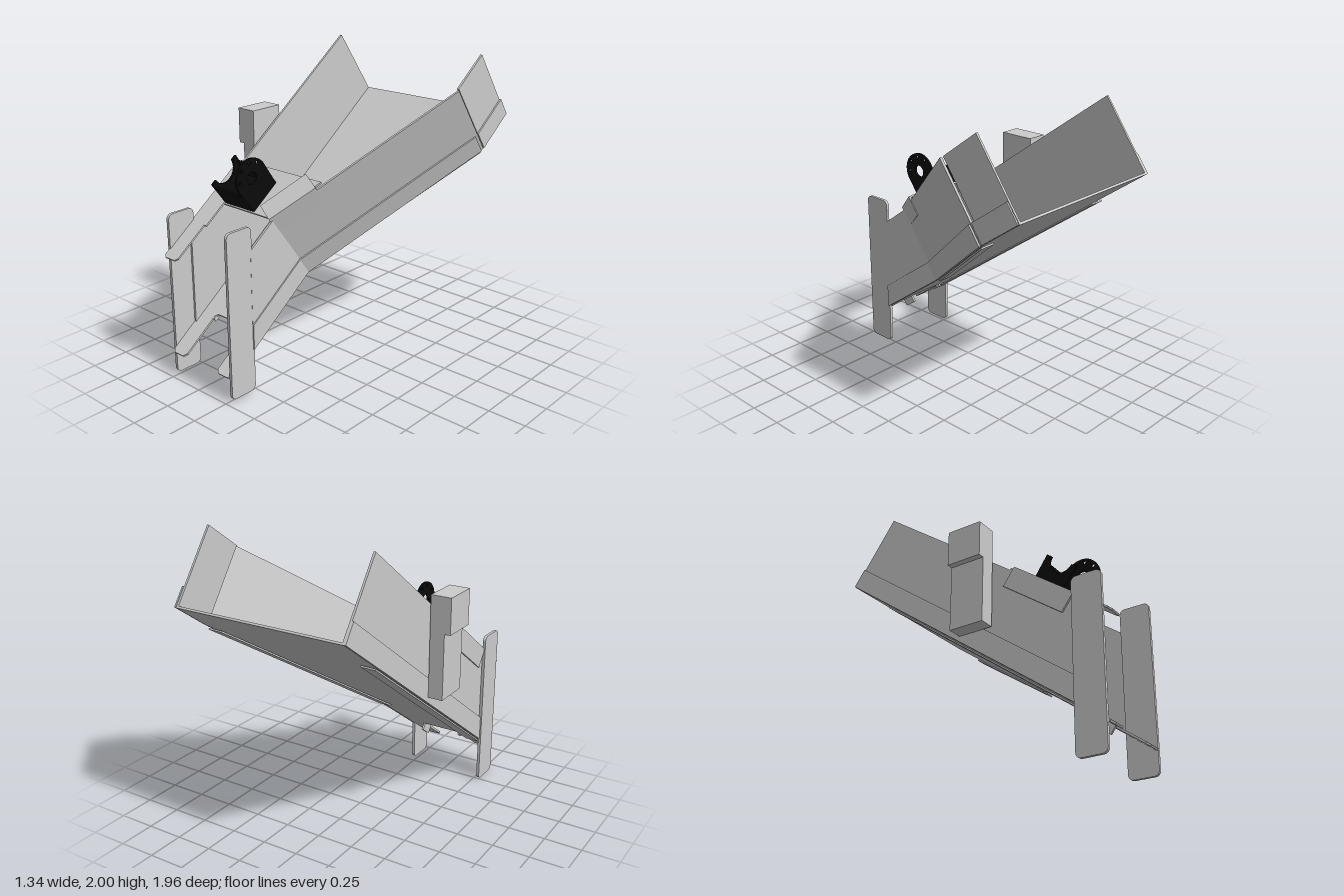
import * as THREE from 'three';

const grey = new THREE.MeshStandardMaterial({ color: 0xcccccc, flatShading: true });
const black = new THREE.MeshStandardMaterial({ color: 0x0b0b0b, flatShading: true });
const T = 0.014;    // sheet thickness
const H = 0.53;     // wall height
const TILT = 0.628; // chute slope

function outline(pts) {
  return new THREE.Shape(pts.map(p => new THREE.Vector2(p[0], p[1])));
}

function add(parent, name, geometry, material = grey) {
  const mesh = new THREE.Mesh(geometry, material);
  mesh.name = name;
  parent.add(mesh);
  return mesh;
}

function extrude(shape, depth) {
  return new THREE.ExtrudeGeometry(shape, { depth, bevelEnabled: false, curveSegments: 16 });
}

// Sheet parallel to the chute floor: points are (x, distance down the slope)
function flat(parent, name, pts, top, depth = T) {
  return add(parent, name, extrude(outline(pts), depth).rotateX(Math.PI / 2).translate(0, top, 0));
}

// Upright sheet along the line a-b; profile points are (distance, height).
// Positive offset moves it towards the chute's right-hand side.
function upright(parent, name, a, b, shape, offset = 0, depth = T, material = grey) {
  const dir = new THREE.Vector3(b[0] - a[0], 0, b[1] - a[1]).normalize();
  const up = new THREE.Vector3(0, 1, 0);
  const m = new THREE.Matrix4().makeBasis(dir, up, dir.clone().cross(up));
  m.setPosition(a[0], 0, a[1]);
  return add(parent, name, extrude(shape, depth).translate(0, 0, offset).applyMatrix4(m), material);
}

const rect = (x0, y0, x1, y1) => outline([[x0, y0], [x1, y0], [x1, y1], [x0, y1]]);

function roundedRect(w, h, r) {
  const s = new THREE.Shape();
  s.absarc(w - r, r, r, -Math.PI / 2, 0);
  s.absarc(w - r, h - r, r, 0, Math.PI / 2);
  s.absarc(r, h - r, r, Math.PI / 2, Math.PI);
  s.absarc(r, r, r, Math.PI, Math.PI * 1.5);
  return s;
}

function circleHole(x, y, r) {
  return new THREE.Path().absarc(x, y, r, 0, Math.PI * 2, true);
}

export function createModel() {
  const model = new THREE.Group();
  model.name = 'chute';

  // Everything on the slope is built flat, then tilted
  const slope = new THREE.Group();
  slope.name = 'slopedChute';
  slope.rotation.x = TILT;
  slope.position.set(0, 1.57, -0.97);
  model.add(slope);

  const L = -0.52, R = 0.65, N = 0.015;     // left, wide right, narrow right
  const bendTop = 0.31, bendLow = 1.54;
  const cut = v => (1.75 - v * Math.sin(TILT)) / Math.cos(TILT); // vertical cut at the low end
  const taper = Math.hypot(R - N, bendLow - bendTop);

  // Floor with two tongues at the outlet
  flat(slope, 'floor', [[L, 0], [R, 0], [R, bendTop], [N, bendLow], [N, 2.37], [N - 0.02, 2.395],
    [-0.09, 2.395], [-0.11, 2.37], [-0.11, 2.07], [-0.13, 2.05], [-0.38, 2.05], [-0.4, 2.07],
    [-0.4, 2.37], [-0.42, 2.395], [L + 0.02, 2.395], [L, 2.37]], 0.012);
  upright(slope, 'outletLip', [-0.11, 2.05], [-0.11, 2.2], rect(0, -0.05, 0.1, 0.01));
  upright(slope, 'outletLip', [-0.39, 2.05], [-0.39, 2.2], rect(0, -0.02, 0.04, 0.01));

  // Side walls
  const lowWall = (start, h) => outline([[0, 0], [cut(0) - start, 0], [cut(h) - start, h], [0, h]]);
  upright(slope, 'leftWall', [L, 0], [L, 2], lowWall(0, H), -T);
  upright(slope, 'rightEndWall', [R, 0], [R, 1], rect(0, 0, bendTop - 0.01, H));
  upright(slope, 'taperedWall', [R, bendTop], [N, bendLow], rect(0, 0, taper, H), -T);
  upright(slope, 'rightLowWall', [N, bendLow], [N, 2], lowWall(bendLow, H), -T);

  // Stiffening angles along the lower wall edges
  const S = 0.135;
  upright(slope, 'leftEdgeStrip', [L, 0], [L, 2], lowWall(0, S), 0, 0.01);
  upright(slope, 'rightEndStrip', [R, 0], [R, 1], rect(0, 0, bendTop, S), -0.015, 0.01);
  upright(slope, 'taperedStrip', [R, bendTop], [N, bendLow], rect(0.02, 0, taper, S), -T - 0.01, 0.01);
  upright(slope, 'rightLowStrip', [N, bendLow], [N, 2], lowWall(bendLow, S), -T - 0.008, 0.008);
  flat(slope, 'leftUnderStrip', [[L, 0.4], [L + 0.1, 0.4], [L + 0.1, 2.15], [L, 2.15]], -T / 2, 0.01);
  flat(slope, 'taperedUnderStrip', [[R, 0.34], [N, bendLow], [N - 0.1, bendLow], [R - 0.1, 0.34]], -T / 2, 0.01);

  // Cover bridging the walls, with folded clips at both sides
  flat(slope, 'cover', [[L, 1.2], [0.18, 1.2], [N, bendLow], [L, bendLow]], H + T);
  flat(slope, 'rightClipTop', [[0.01, 1.55], [0.17, 1.25], [0.045, 1.18], [-0.11, 1.485]], H + 0.026, 0.012);
  upright(slope, 'rightClipSide', [0.17, 1.25], [0.01, 1.55], rect(0, 0.42, 0.34, H + 0.026), -T, T);
  flat(slope, 'leftClipTop', [[L - 0.01, 1.23], [-0.39, 1.23], [-0.39, 1.73], [-0.41, 1.73],
    [-0.41, 2.0], [-0.43, 2.02], [L + 0.01, 2.02], [L - 0.01, 2.0]], H + 0.026, 0.012);
  upright(slope, 'leftClipSide', [L, 1.23], [L, 2], rect(0, 0.42, 0.5, H + 0.02), 0, 0.012);

  // Black bracket: one full round ear, one half ear, two webs and a base
  const bracket = new THREE.Group();
  bracket.name = 'bracket';
  slope.add(bracket);
  const cw = 1.411, cv = 0.729, r = 0.125, base = 0.545;
  const ear = new THREE.Shape();
  ear.moveTo(cw - 0.12, base);
  ear.lineTo(cw + 0.12, base);
  ear.lineTo(cw + r, cv);
  ear.absarc(cw, cv, r, 0, Math.PI);
  ear.holes.push(circleHole(cw, cv, 0.04));
  for (const a of [0.5, 1.25, 2.0, 2.7]) {
    ear.holes.push(circleHole(cw + 0.1 * Math.cos(a), cv + 0.1 * Math.sin(a), 0.012));
  }
  upright(bracket, 'roundEar', [-0.13, 0], [-0.13, 1], ear, 0, 0.016, black);
  const half = new THREE.Shape();
  half.moveTo(cw - 0.12, base);
  half.lineTo(cw + 0.12, base);
  half.lineTo(cw + r, cv);
  half.lineTo(cw + 0.085, cv);
  half.absarc(cw, cv, 0.085, 0, Math.PI, true);
  half.lineTo(cw - r, cv);
  upright(bracket, 'halfEar', [-0.374, 0], [-0.374, 1], half, 0, 0.016, black);
  for (const w of [cw - 0.114, cw + 0.114]) {
    const web = add(bracket, 'web', new THREE.BoxGeometry(0.25, 0.145, 0.014), black);
    web.position.set(-0.26, base + 0.0725, w);
  }
  const foot = add(bracket, 'bracketBase', new THREE.BoxGeometry(0.25, 0.016, 0.24), black);
  foot.position.set(-0.26, base + 0.008, cw);

  // Upright mounting plates at the outlet
  for (const [name, x, y, z] of [['rightLeg', 0.008, 0.02, 0.77], ['leftLeg', -0.54, 0.003, 0.745]]) {
    const leg = add(model, name, extrude(roundedRect(0.197, 1.09, 0.035), 0.02).rotateY(-Math.PI / 2));
    leg.position.set(x + 0.02, y, z);
  }

  // Box mounted on the outside of the left wall
  const head = add(model, 'sideBoxHead', new THREE.BoxGeometry(0.138, 0.235, 0.24));
  head.position.set(-0.601, 1.488, 0.07);
  const stem = add(model, 'sideBoxStem', new THREE.BoxGeometry(0.098, 0.435, 0.24));
  stem.position.set(-0.581, 1.155, 0.07);

  return model;
}
